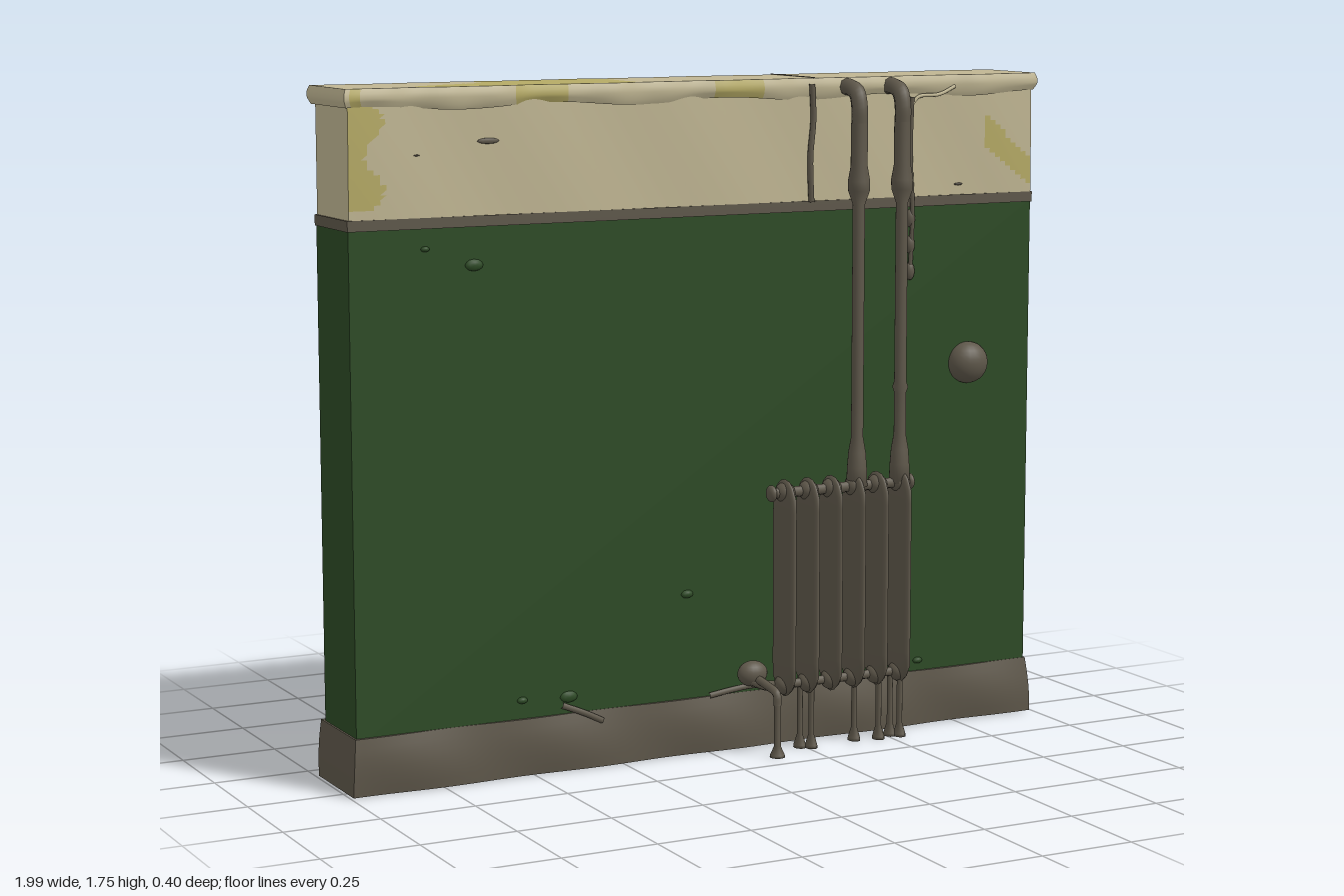
import * as THREE from 'three';

const mat = (name, color, side = THREE.FrontSide) => {
  const m = new THREE.MeshStandardMaterial({ color, side });
  m.name = name;
  return m;
};

export function createModel() {
  const root = new THREE.Group();
  root.name = 'wallWithRadiator';
  const green = mat('greenPaint', 0x2d4a25);
  const cream = mat('creamPlaster', 0xbfb592);
  const yellow = mat('yellowStain', 0xb5aa65);
  const grey = mat('greyBrown', 0x5e574a);

  const add = (name, geo, material, pos = [0, 0, 0], scale = [1, 1, 1], parent = root) => {
    const m = new THREE.Mesh(geo, material);
    m.name = name;
    m.position.set(...pos);
    m.scale.set(...scale);
    parent.add(m);
    return m;
  };

  // Box between two corners with subdivided faces, vertices moved by a rule
  const block = (a, b, seg, warp) => {
    const g = new THREE.BoxGeometry(b[0] - a[0], b[1] - a[1], b[2] - a[2], ...seg);
    g.translate((a[0] + b[0]) / 2, (a[1] + b[1]) / 2, (a[2] + b[2]) / 2);
    if (warp) {
      const p = g.attributes.position;
      const v = new THREE.Vector3();
      for (let i = 0; i < p.count; i++) {
        warp(v.fromBufferAttribute(p, i));
        p.setXYZ(i, v.x, v.y, v.z);
      }
      g.computeVertexNormals();
    }
    return g;
  };

  // Sorts triangles into two material groups by a rule on their centre
  const stain = (geo, rule) => {
    const idx = Array.from(geo.index.array);
    const sets = [[], []];
    const c = new THREE.Vector3(), t = new THREE.Vector3();
    for (let i = 0; i < idx.length; i += 3) {
      const tri = idx.slice(i, i + 3);
      c.set(0, 0, 0);
      tri.forEach((k) => c.add(t.fromBufferAttribute(geo.attributes.position, k)));
      c.divideScalar(3);
      sets[rule(c) ? 1 : 0].push(...tri);
    }
    geo.setIndex([...sets[0], ...sets[1]]);
    geo.clearGroups();
    geo.addGroup(0, sets[0].length, 0);
    geo.addGroup(sets[0].length, sets[1].length, 1);
    return geo;
  };

  // Main wall and dividing strip
  add('greenWall', block([-0.98, 0.13, -0.17], [0.98, 1.415, 0.045], [1, 1, 1]), green);
  add('dividingStrip', block([-0.983, 1.41, -0.173], [0.983, 1.437, 0.049], [1, 1, 1]), grey);

  // Cream band with stains at both front ends
  const band = block([-0.978, 1.435, -0.168], [0.978, 1.73, 0.047], [120, 24, 1], (v) => {
    if (v.z > 0) v.z += 0.002 * Math.sin(v.x * 14 + v.y * 9);
  });
  add('creamBand', stain(band, (c) => {
    if (c.z < 0.03) return false;
    const left = c.x < -0.91 + 0.025 * Math.sin(c.y * 38 + 0.8) && c.y > 1.46;
    const right = c.x > 0.83 && Math.abs(c.y - 1.6 + 0.8 * (c.x - 0.84)) < 0.04;
    return left || right;
  }), [cream, yellow]);

  // Uneven overhanging cap with a stained stretch
  const cap = block([-0.992, 1.705, -0.188], [0.992, 1.755, 0.06], [140, 4, 14], (v) => {
    const edge = Math.abs(v.y - 1.732) / 0.025;
    const out = Math.sign(v.z + 0.064) * (Math.abs(v.z + 0.064) / 0.124);
    v.z += out * (0.005 * Math.sin(v.x * 17) + 0.003 * Math.sin(v.x * 41) - 0.008 * edge * edge);
    v.x -= Math.sign(v.x) * 0.007 * edge * edge * Math.abs(v.x);
    if (v.y < 1.73) v.y += 0.006 * Math.sin(v.x * 13 + 1);
  });
  add('cap', stain(cap, (c) => {
    if (c.y > 1.753) {
      const edge = c.z < -0.09 ? -0.56 : -0.58 - (c.z + 0.09) * 2.2;
      return c.x < -0.2 && c.x > Math.max(edge, -0.79);
    }
    if (Math.abs(c.x) > 0.975) return false;
    if (c.z < -0.15) return c.x < 0.15 && Math.sin(c.x * 9) + c.y * 20 < 35.2;
    return c.z > 0.02 && c.x < 0.28 && Math.sin(c.x * 11) + Math.sin(c.x * 23) > 0.6;
  }), [cream, yellow]);

  // Rough skirting at the foot
  add('skirting', block([-0.993, 0.005, -0.192], [0.993, 0.152, 0.058], [80, 6, 8], (v) => {
    const h = (v.y - 0.005) / 0.147;
    const s = Math.sign(v.z + 0.067) * Math.abs(v.z + 0.067) / 0.125;
    v.z += s * (0.004 * Math.sin(v.x * 15 + v.y * 20) + 0.005 * Math.sin(h * Math.PI) - 0.008 * h * h);
    v.x -= Math.sign(v.x) * Math.abs(v.x) * 0.008 * h * h;
  }), grey);

  // Dark seam around the upper wall at one joint
  const ball = new THREE.SphereGeometry(1, 20, 14);
  const tube = (pts, r, n = 24) => new THREE.TubeGeometry(
    new THREE.CatmullRomCurve3(pts.map((p) => new THREE.Vector3(...p))), n, r, 8);
  add('frontSeam', tube([[0.297, 1.74, 0.058], [0.303, 1.65, 0.055], [0.294, 1.55, 0.056], [0.3, 1.435, 0.052]], 0.008), grey);
  add('backSeam', tube([[0.3, 1.72, -0.19], [0.3, 1.58, -0.184], [0.3, 1.435, -0.178]], 0.008), grey);
  add('topSeam', block([0.305, 1.75, -0.18], [0.31, 1.757, 0.05], [1, 1, 1]), grey);

  // Hanging cable
  add('cableLead', tube([[0.73, 1.725, 0.058], [0.68, 1.705, 0.06], [0.62, 1.7, 0.056], [0.6, 1.68, 0.056]], 0.005), cream);
  add('cable', tube([[0.6, 1.7, 0.056], [0.597, 1.55, 0.055], [0.604, 1.4, 0.056], [0.6, 1.22, 0.052]], 0.006), grey);
  [1.24, 1.31, 1.38].forEach((y) => add('cableKnot', ball, grey, [0.601, y, 0.05], [0.013, 0.024, 0.012]));

  // Round wall knob
  add('wallKnob', ball, grey, [0.785, 0.985, 0.05], [0.058, 0.056, 0.045]);

  // Radiator fins with joint bulges and cross pipes
  const radiator = new THREE.Group();
  radiator.name = 'radiator';
  root.add(radiator);
  const lathe = (pts, n = 20) => new THREE.LatheGeometry(pts.map((p) => new THREE.Vector2(...p)), n);
  const Z = 0.125;
  const fin = lathe([[0, 0.148], [0.02, 0.155], [0.04, 0.172], [0.056, 0.2], [0.057, 0.24],
    [0.057, 0.64], [0.055, 0.675], [0.04, 0.705], [0.022, 0.72], [0, 0.725]]);
  for (let i = 0; i < 6; i++) {
    const x = 0.185 + i * 0.0692;
    add('fin', fin, grey, [x, 0, Z], [0.28, 1, 1], radiator);
    [0.69, 0.18].forEach((y) => add('finJoint', ball, grey, [x, y, Z], [0.026, 0.027, 0.03], radiator));
  }
  const rod = (name, x0, x1, y, r) => add(name, tube([[x0, y, Z], [(x0 + x1) / 2, y, Z], [x1, y, Z]], r, 4), grey, undefined, undefined, radiator);
  rod('upperCrossPipe', 0.145, 0.56, 0.69, 0.014);
  rod('lowerCrossPipe', 0.17, 0.55, 0.18, 0.012);
  [0.145, 0.56].forEach((x) => add('endCap', ball, grey, [x, 0.69, Z], [0.012, 0.022, 0.022], radiator));

  // Supply pipes rising and bending into the wall
  [0.4, 0.53].forEach((x, i) => {
    const pipe = new THREE.Group();
    pipe.name = 'supplyPipe';
    root.add(pipe);
    add('riser', lathe([[0, 0.68], [0.028, 0.69], [0.026, 0.74], [0.023, 0.78], [0.016, 0.82], [0.016, 0.93],
      [i ? 0.021 : 0.016, 0.945], [0.016, 0.96], [0.016, 1.43], [0.028, 1.465], [0.029, 1.49], [0.022, 1.53], [0.022, 1.64]]),
    grey, [x, 0, Z], undefined, pipe);
    add('bend', tube([[x, 1.63, Z], [x, 1.68, Z], [x, 1.715, Z - 0.012], [x, 1.729, Z - 0.04], [x, 1.73, 0.03]], 0.022), grey, undefined, undefined, pipe);
  });

  // Legs with flared feet
  const leg = lathe([[0, 0.004], [0.02, 0.004], [0.019, 0.012], [0.009, 0.04], [0.009, 0.19]], 12);
  [0.235, 0.26, 0.4, 0.465, 0.51, 0.53].forEach((x, i) =>
    add('leg', leg, grey, [x, 0, Z + (i % 2 ? 0.012 : -0.005)], [0.8, 1, 1], radiator));
  add('valveLeg', leg, grey, [0.135, 0, 0.18], [1, 0.8, 1], radiator);
  add('valvePipe', tube([[0.135, 0.14, 0.18], [0.135, 0.17, 0.175], [0.13, 0.185, 0.13], [0.12, 0.2, 0.06]], 0.011), grey, undefined, undefined, radiator);
  add('valveBody', ball, grey, [0.12, 0.205, 0.07], [0.042, 0.034, 0.03], radiator);
  add('valveArm', tube([[0.11, 0.19, 0.08], [0.15, 0.175, 0.1], [0.19, 0.18, Z]], 0.014), grey, undefined, undefined, radiator);
  add('floorPipe', tube([[0.0, 0.155, 0.055], [0.07, 0.165, 0.058], [0.13, 0.17, 0.06], [0.25, 0.16, 0.06]], 0.008), grey);

  // Small chips of loose paint and plaster
  const chip = new THREE.IcosahedronGeometry(1, 1);
  [[-0.65, 1.315, 0.025], [-0.78, 1.36, 0.012], [-0.06, 0.43, 0.018], [-0.4, 0.195, 0.025],
    [-0.53, 0.2, 0.015], [0.64, 0.18, 0.015]].forEach(([x, y, s]) =>
    add('paintChip', chip, green, [x, y, 0.045], [s, s * 0.6, 0.009]));
  [[-0.61, 1.62, 0.03], [0.75, 1.465, 0.014], [-0.8, 1.59, 0.008]].forEach(([x, y, s]) =>
    add('plasterChip', chip, grey, [x, y, 0.048], [s, s * 0.25, 0.004]));
  add('peelingEdge', tube([[-0.42, 0.175, 0.047], [-0.36, 0.15, 0.056], [-0.31, 0.125, 0.056]], 0.008), grey);

  return root;
}
